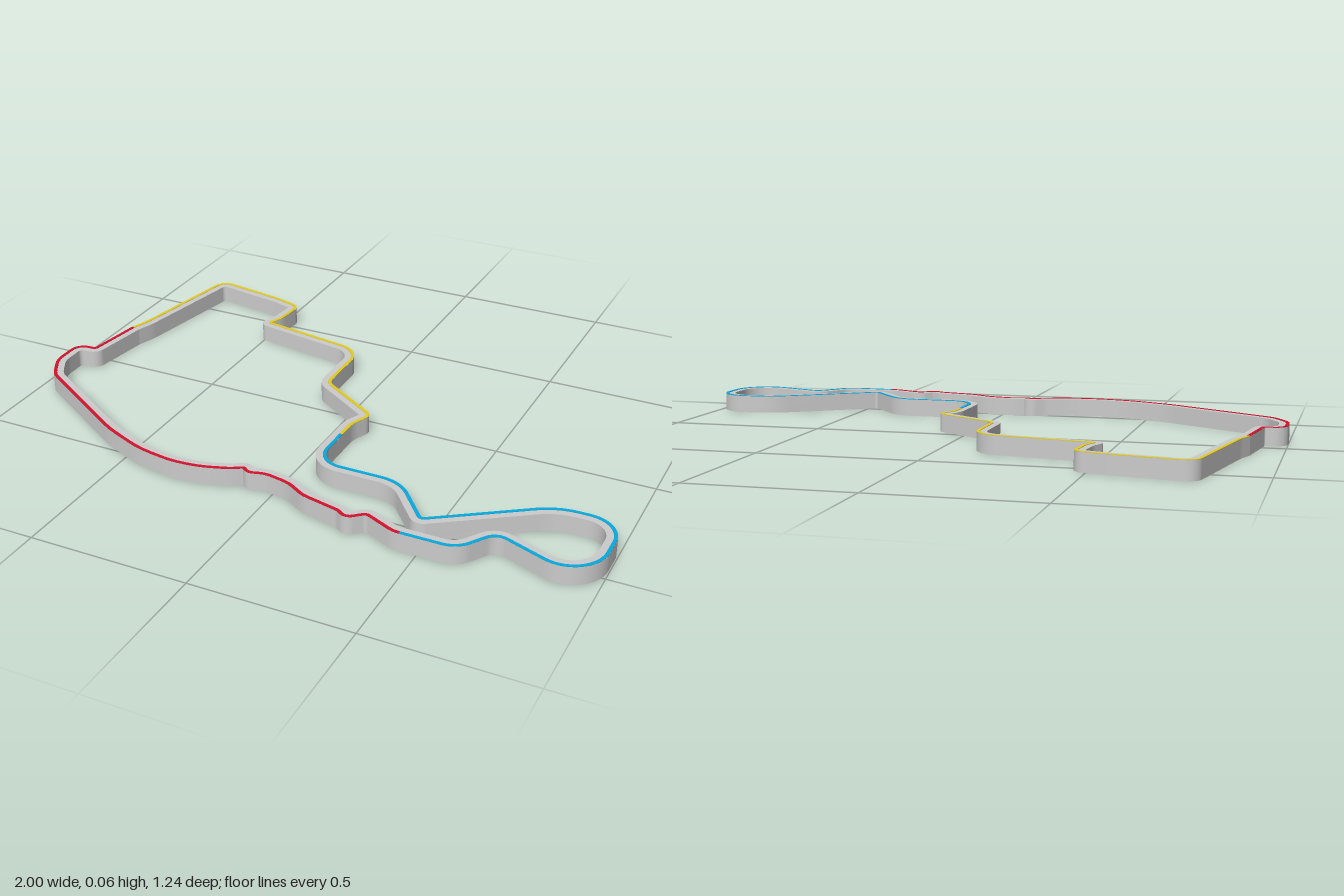
import * as THREE from 'three';

const material = (name, color) => {
  const m = new THREE.MeshStandardMaterial({ color });
  m.name = name;
  return m;
};

// Centre line corners as [x, z, fillet radius], clockwise from above, one list per sector
const sectors = [
  { name: 'yellowSector', color: 0xe3cb25, corners: [
    [-0.89, -0.15, 0], [-0.87, -0.21, 0.2], [-0.797, -0.606, 0.03], [-0.56, -0.565, 0.3],
    [-0.474, -0.54, 0.025], [-0.483, -0.44, 0.1], [-0.507, -0.381, 0.017], [-0.125, -0.317, 0.08],
    [-0.125, -0.077, 0.06], [0.088, 0.06, 0.018], [0.06, 0.125, 0.12]] },
  { name: 'blueSector', color: 0x08a9dc, corners: [
    [0.06, 0.2, 0], [0.06, 0.384, 0.12], [0.34, 0.384, 0.12], [0.47, 0.54, 0.025],
    [0.8, 0.315, 0.2], [0.98, 0.315, 0.115], [0.98, 0.6, 0.112], [0.685, 0.49, 0.055],
    [0.61, 0.603, 0.07]] },
  { name: 'redSector', color: 0xd4122c, corners: [
    [0.43, 0.603, 0.08], [0.325, 0.555, 0.03], [0.28, 0.595, 0.018], [0.25, 0.575, 0.04],
    [0.125, 0.547, 0.1], [0.06, 0.507, 0.15], [-0.03, 0.49, 0.1], [-0.077, 0.505, 0.02],
    [-0.1, 0.485, 0.018], [-0.14, 0.51, 0.1], [-0.22, 0.537, 0.3], [-0.31, 0.547, 0.4],
    [-0.44, 0.525, 0.4], [-0.58, 0.465, 0.4], [-0.935, 0.245, 0.1], [-0.983, 0.16, 0.1],
    [-0.983, 0.053, 0.03], [-0.918, 0.05, 0.02]] },
];

// Round every corner of the closed centre line and remember where each sector starts
function buildPath() {
  const corners = sectors.flatMap(s => s.corners);
  const starts = new Set(sectors.map(s => s.corners[0]));
  const points = [], breaks = [];
  corners.forEach((c, i) => {
    if (starts.has(c)) breaks.push(points.length);
    const p = new THREE.Vector2(c[0], c[1]);
    const prev = corners[(i + corners.length - 1) % corners.length];
    const next = corners[(i + 1) % corners.length];
    const u = new THREE.Vector2(prev[0], prev[1]).sub(p);
    const v = new THREE.Vector2(next[0], next[1]).sub(p);
    const limit = 0.49 * Math.min(u.length(), v.length());
    u.normalize();
    v.normalize();
    const half = Math.acos(THREE.MathUtils.clamp(u.dot(v), -1, 1)) / 2;
    if (c[2] === 0 || Math.PI / 2 - half < 0.01) return points.push(p);
    const t = Math.min(c[2] / Math.tan(half), limit);
    const r = t * Math.tan(half);
    const centre = p.clone().addScaledVector(u.clone().add(v).normalize(), r / Math.sin(half));
    const from = p.clone().addScaledVector(u, t).sub(centre);
    const to = p.clone().addScaledVector(v, t).sub(centre);
    const sweep = Math.atan2(from.cross(to), from.dot(to));
    const n = Math.max(3, Math.ceil(Math.abs(sweep) / 0.14));
    for (let k = 0; k <= n; k++) {
      points.push(from.clone().rotateAround(new THREE.Vector2(), sweep * k / n).add(centre));
    }
  });
  return { points, breaks };
}

// Mitred normals pointing to the outside of the circuit
function outwardNormals(points) {
  const N = points.length;
  return points.map((p, i) => {
    const a = p.clone().sub(points[(i + N - 1) % N]).normalize();
    const b = points[(i + 1) % N].clone().sub(p).normalize();
    const d = a.clone().add(b).normalize();
    return new THREE.Vector2(d.y, -d.x).divideScalar(Math.max(0.6, d.dot(b)));
  });
}

// Sweep a rectangular section from point index i0 to i1, each side with its own normals
function sweep(points, normals, i0, i1, outer, inner, y0, y1) {
  const section = [[outer, y1], [inner, y1], [inner, y0], [outer, y0]];
  const pos = [], index = [];
  for (let s = 0; s < 4; s++) {
    const base = pos.length / 3;
    for (let i = i0; i <= i1; i++) {
      const p = points[i % points.length], n = normals[i % points.length];
      for (const [off, y] of [section[s], section[(s + 1) % 4]]) {
        pos.push(p.x + n.x * off, y, p.y + n.y * off);
      }
      if (i < i1) {
        const a = base + (i - i0) * 2;
        index.push(a, a + 1, a + 2, a + 1, a + 3, a + 2);
      }
    }
  }
  const g = new THREE.BufferGeometry();
  g.setAttribute('position', new THREE.Float32BufferAttribute(pos, 3));
  g.setIndex(index);
  g.computeVertexNormals();
  return g;
}

export function createModel() {
  const group = new THREE.Group();
  group.name = 'raceCircuit';
  const { points, breaks } = buildPath();
  const normals = outwardNormals(points);
  const add = (name, geometry, mat) => {
    const mesh = new THREE.Mesh(geometry, mat);
    mesh.name = name;
    group.add(mesh);
  };

  // Grey wall that follows the whole circuit
  add('trackWall', sweep(points, normals, 0, points.length, 0.016, -0.016, 0, 0.057),
    material('lightGrey', 0xcccccc));

  // Thin coloured sector lines along the outer top edge
  sectors.forEach((s, i) => {
    const end = i + 1 < breaks.length ? breaks[i + 1] : points.length;
    add(s.name + 'Line', sweep(points, normals, breaks[i], end, 0.0158, 0.005, 0.0565, 0.0585),
      material(s.name.replace('Sector', ''), s.color));
  });
  return group;
}
